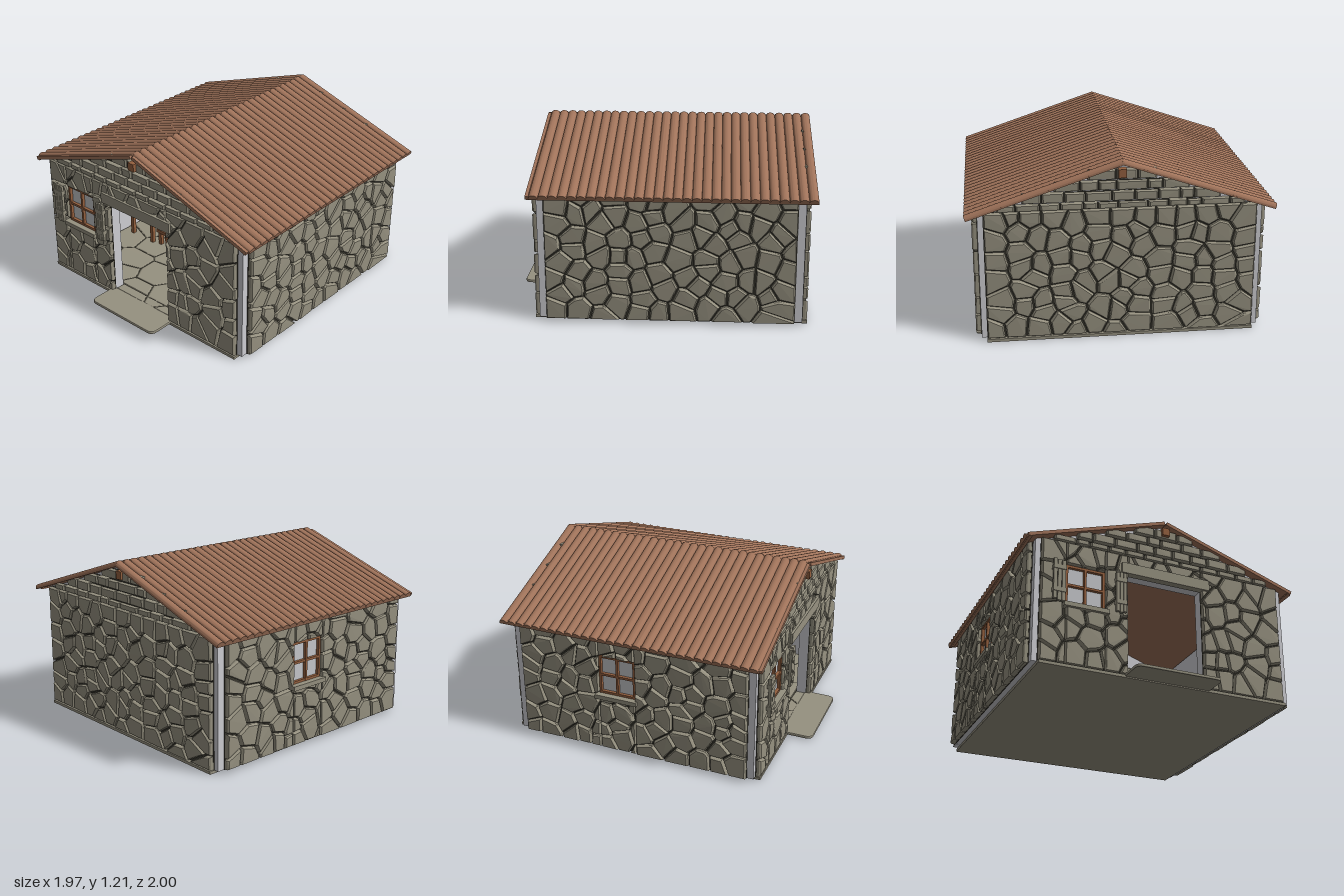
import * as THREE from 'three';
import { mergeGeometries, toCreasedNormals } from 'three/addons/utils/BufferGeometryUtils.js';
import { ConvexGeometry } from 'three/addons/geometries/ConvexGeometry.js';

const paint = (name, color) => {
  const m = new THREE.MeshStandardMaterial({ color });
  m.name = name;
  return m;
};

export function createModel() {
  const stone = paint('stone', 0x969180), mortar = paint('mortar', 0x3b3930);
  const plaster = paint('plaster', 0xcfcfd4), tile = paint('roof tile', 0xa0735a);
  const timber = paint('timber', 0x94603f), glass = paint('glass', 0xc6c8cb);
  const house = new THREE.Group();
  house.name = 'stoneCottage';

  let seed = 7;
  const rnd = () => (seed = (seed * 16807) % 2147483647) / 2147483647;

  const add = (name, geo, mat, parent = house) => {
    const m = new THREE.Mesh(geo, mat);
    m.name = name;
    parent.add(m);
    return m;
  };
  // box given by its limits on each axis
  const box = (name, mat, [x0, x1], [y0, y1], [z0, z1], parent) => {
    const m = add(name, new THREE.BoxGeometry(x1 - x0, y1 - y0, z1 - z0), mat, parent);
    m.position.set((x0 + x1) / 2, (y0 + y1) / 2, (z0 + z1) / 2);
    return m;
  };
  const group = (name, x, y, z, ry = 0, rx = 0) => {
    const g = new THREE.Group();
    g.name = name;
    g.position.set(x, y, z);
    g.rotation.set(rx, ry, 0);
    house.add(g);
    return g;
  };

  // keep the part of a polygon where p.n <= d
  const clip = (poly, nx, ny, d) => {
    const out = [];
    poly.forEach((a, i) => {
      const b = poly[(i + 1) % poly.length];
      const da = a[0] * nx + a[1] * ny - d, db = b[0] * nx + b[1] * ny - d;
      if (da <= 0) out.push(a);
      if (da * db < 0) {
        const t = da / (da - db);
        out.push([a[0] + (b[0] - a[0]) * t, a[1] + (b[1] - a[1]) * t]);
      }
    });
    return out;
  };
  const rect = ([x0, x1, y0, y1], g = 0) =>
    [[x0 + g, y0 + g], [x1 - g, y0 + g], [x1 - g, y1 - g], [x0 + g, y1 - g]];

  // one chamfered stone on a convex outline
  const stoneGeo = (poly, depth) => {
    const p = poly.filter((a, i) => {
      const b = poly[(i + 1) % poly.length];
      return Math.hypot(a[0] - b[0], a[1] - b[1]) > 0.006;
    });
    if (p.length < 3) return null;
    const xs = p.map(a => a[0]), ys = p.map(a => a[1]);
    if (Math.max(...xs) - Math.min(...xs) < 0.014 || Math.max(...ys) - Math.min(...ys) < 0.014) return null;
    const cx = xs.reduce((s, v) => s + v) / p.length, cy = ys.reduce((s, v) => s + v) / p.length;
    const pts = [];
    for (const [x, y] of p) {
      const k = Math.min(0.5, 0.01 / Math.hypot(x - cx, y - cy));
      pts.push(new THREE.Vector3(x, y, 0), new THREE.Vector3(x, y, depth * 0.65));
      pts.push(new THREE.Vector3(x + (cx - x) * k, y + (cy - y) * k, depth * (0.9 + 0.1 * rnd())));
    }
    return new ConvexGeometry(pts);
  };

  // irregular stonework filling several rectangles, outward is local +z
  const stonework = (name, parent, regions, cell, depth) => {
    const X0 = Math.min(...regions.map(r => r[0])), X1 = Math.max(...regions.map(r => r[1]));
    const Y0 = Math.min(...regions.map(r => r[2])), Y1 = Math.max(...regions.map(r => r[3]));
    const nx = Math.round((X1 - X0) / cell), ny = Math.round((Y1 - Y0) / cell), seeds = [];
    for (let i = 0; i < nx; i++) for (let j = 0; j < ny; j++)
      seeds.push([X0 + (X1 - X0) * (i + 0.5 + (rnd() - 0.5) * 0.85) / nx,
        Y0 + (Y1 - Y0) * (j + 0.5 + (rnd() - 0.5) * 0.7 + (i % 2 ? 0.2 : -0.2)) / ny]);
    const stones = [];
    for (const r of regions) {
      box(name + 'Mortar', mortar, [r[0], r[1]], [r[2], r[3]], [0, 0.006], parent);
      for (const s of seeds) {
        let poly = rect(r, 0.003);
        for (const o of seeds) {
          const dx = o[0] - s[0], dy = o[1] - s[1], l = Math.hypot(dx, dy);
          if (l === 0 || l > cell * 4) continue;
          poly = clip(poly, dx / l, dy / l, ((s[0] + o[0]) * dx + (s[1] + o[1]) * dy) / (2 * l) - 0.0055);
          if (poly.length < 3) break;
        }
        const g = poly.length > 2 && stoneGeo(poly, depth);
        if (g) stones.push(g);
      }
    }
    add(name + 'Stones', mergeGeometries(stones), stone, parent);
  };
  // rectangles around an opening
  const around = ([x0, x1, y0, y1], [a, b, c, d]) =>
    [[x0, a, y0, y1], [b, x1, y0, y1], [a, b, y0, c], [a, b, d, y1]];

  // coursed bricks in the gable
  const gable = (parent) => {
    const bricks = [];
    [[0.79, 0.88, 0.928], [0.63, 0.928, 1.0], [0.43, 1.0, 1.068], [0.22, 1.068, 1.14]].forEach(([w, y0, y1]) => {
      const n = Math.round(w * 2 / 0.135);
      const cuts = Array.from({ length: n + 1 }, (_, i) =>
        -w + (2 * w * (i + (i && i < n ? (rnd() - 0.5) * 0.5 : 0))) / n);
      box('gableMortar', mortar, [-w + 0.01, w - 0.01], [y0, y1 - 0.006], [0, 0.006], parent);
      for (let i = 0; i < n; i++) {
        bricks.push(stoneGeo(rect([cuts[i], cuts[i + 1], y0, y1 - rnd() * 0.008], 0.004), 0.036));
      }
    });
    add('gableBricks', mergeGeometries(bricks), stone, parent);
  };

  // casement with a cross of bars, centred on its group
  const casement = (parent, [x0, x1, y0, y1]) => {
    const f = 0.016, cx = (x0 + x1) / 2, cy = (y0 + y1) / 2;
    box('windowGlass', glass, [x0, x1], [y0, y1], [-0.013, -0.007], parent);
    for (const x of [x0 + f / 2, cx, x1 - f / 2]) box('windowUpright', timber, [x - f / 2, x + f / 2], [y0, y1], [-0.02, 0.015], parent);
    for (const y of [y0 + f / 2, cy, y1 - f / 2]) box('windowRail', timber, [x0, x1], [y - f / 2, y + f / 2], [-0.02, 0.014], parent);
    box('windowSill', stone, [x0 - 0.02, x1 + 0.02], [y0 - 0.03, y0], [0, 0.055], parent);
  };

  // plastered wall core with openings
  const core = (name, pts, holes, parent) => {
    const shape = new THREE.Shape(pts.map(p => new THREE.Vector2(...p)));
    for (const h of holes) shape.holes.push(new THREE.Path(rect(h).map(p => new THREE.Vector2(...p))));
    const g = new THREE.ExtrudeGeometry(shape, { depth: 0.07, bevelEnabled: false });
    add(name, g.translate(0, 0, -0.07), plaster, parent);
  };
  const gableTop = [[0.905, 0.02], [0.905, 0.88], [0.84, 0.885], [0, 1.175], [-0.84, 0.885], [-0.905, 0.88], [-0.905, 0.02]];

  // front wall with door and window
  const front = group('frontWall', 0, 0, 0.785);
  const win = [-0.7, -0.43, 0.44, 0.72];
  core('frontCore', [...gableTop, [-0.27, 0.02], [-0.27, 0.74], [0.27, 0.74], [0.27, 0.02]], [win], front);
  stonework('frontWall', front, [...around([-0.87, -0.27, 0.02, 0.88], win),
    [0.27, 0.865, 0.02, 0.88], [-0.27, 0.27, 0.74, 0.88]], 0.135, 0.036);
  gable(front);
  casement(front, win);
  box('doorLintel', stone, [-0.32, 0.32], [0.735, 0.81], [0, 0.05], front);
  for (const [x, w] of [[-0.8, 0.085], [-0.37, 0.075]]) {
    for (let i = 0; i < 3; i++)
      box('shutterPlank', stone, [x + w * i / 3 + 0.002, x + w * (i + 1) / 3 - 0.002],
        [0.43 + rnd() * 0.015, 0.715 + rnd() * 0.02], [0.045, 0.065], front);
    for (const y of [0.49, 0.65]) box('shutterBatten', stone, [x, x + w], [y, y + 0.03], [0.035, 0.07], front);
  }

  // back wall
  const back = group('backWall', 0, 0, -0.93, Math.PI);
  core('backCore', gableTop, [], back);
  stonework('backWall', back, [[-0.87, 0.87, 0.02, 0.88]], 0.13, 0.036);
  gable(back);

  // side walls, with a window on the -x side only
  const sideRect = [-0.81, 0.81, 0.02, 0.88], sideWin = [-0.23, 0.03, 0.44, 0.72];
  for (const s of [1, -1]) {
    const side = group(s > 0 ? 'leftWall' : 'rightWall', s * 0.905, 0, -0.07, s * Math.PI / 2);
    core('sideCore', rect([-0.785, 0.785, 0.02, 0.88]), s > 0 ? [] : [sideWin], side);
    stonework('sideWall', side, s > 0 ? [sideRect] : around(sideRect, sideWin), 0.13, 0.038);
    if (s < 0) casement(side, sideWin);
  }

  // ground slab, doorstep, paved floor, inner back wall
  box('groundSlab', stone, [-0.87, 0.87], [0, 0.02], [-0.965, 0.82]);
  const stepShape = new THREE.Shape();
  stepShape.moveTo(-0.29, 0.78).lineTo(0.29, 0.78).lineTo(0.29, 0.95).quadraticCurveTo(0.29, 0.992, 0.25, 0.992)
    .lineTo(-0.25, 0.992).quadraticCurveTo(-0.29, 0.992, -0.29, 0.95);
  const step = new THREE.ExtrudeGeometry(stepShape,
    { depth: 0.01, bevelSize: 0.008, bevelThickness: 0.006, bevelSegments: 2 });
  add('doorstep', step.rotateX(Math.PI / 2).translate(0, 0.024, 0), stone);
  stonework('floor', group('floor', 0, 0.02, 0, 0, -Math.PI / 2),
    [[-0.83, 0.83, -0.71, 0.86], [-0.27, 0.27, -0.785, -0.71]], 0.24, 0.012);
  stonework('innerBackWall', group('innerBackWall', 0, 0, -0.86), [[-0.83, 0.83, 0.03, 0.88]], 0.13, 0.03);

  // framed hanging on the inner back wall
  const panel = (r, y0, z, mat, name) => {
    const s = new THREE.Shape(), c = 0.03;
    s.moveTo(-r, 0.8).lineTo(-r, y0 + c).quadraticCurveTo(-r, y0, -r + c, y0)
      .lineTo(r - c, y0).quadraticCurveTo(r, y0, r, y0 + c).lineTo(r, 0.8);
    add(name, new THREE.ExtrudeGeometry(s, { depth: 0.02, bevelEnabled: false }).translate(0, 0, z), mat);
  };
  panel(0.155, 0.365, -0.83, timber, 'hangingFrame');
  panel(0.14, 0.38, -0.825, stone, 'hangingPanel');
  const patch = new THREE.Shape([[0.01, 0.4], [0.06, 0.48], [0.07, 0.55], [0.1, 0.63], [0.08, 0.7], [0.04, 0.74],
    [-0.04, 0.74], [-0.07, 0.67], [-0.08, 0.58], [-0.05, 0.5]].map(p => new THREE.Vector2(...p)));
  add('hangingPatch', new THREE.ExtrudeGeometry(patch, { depth: 0.005, bevelEnabled: false }).translate(0, 0, -0.805), plaster);

  // table and stools
  const furniture = (name, x, z, w, d, h) => {
    const g = group(name, x, 0.03, z);
    box(name + 'Top', timber, [-w, w], [h - 0.025, h], [-d, d], g);
    for (const i of [-1, 1]) for (const j of [-1, 1]) {
      const lx = i * (w - 0.025), lz = j * (d - 0.025);
      box(name + 'Leg', timber, [lx - 0.014, lx + 0.014], [0, h - 0.025], [lz - 0.014, lz + 0.014], g);
    }
  };
  furniture('table', -0.63, 0, 0.13, 0.18, 0.25);
  for (const z of [-0.13, 0.1]) furniture('stool', -0.42, z, 0.06, 0.06, 0.13);

  // roof: rounded tiles running from ridge to eaves on thin boarding
  const pitch = 0.323, L = 1.032, N = 30, w = 1.82 / N;
  const arc = new THREE.Shape();
  arc.moveTo(w / 2, 0).absellipse(0, 0, w / 2, 0.025, 0, Math.PI, false, 0);
  const slope = (geo, s) => {
    geo.rotateZ(-pitch).translate(0, 1.183, 0);
    return s < 0 ? geo.rotateY(Math.PI) : geo;
  };
  for (const s of [1, -1]) {
    const tiles = [];
    for (let i = 0; i < N; i++) {
      const g = new THREE.ExtrudeGeometry(arc, { depth: L + 0.008, bevelEnabled: false, curveSegments: 10 });
      g.rotateY(Math.PI / 2).translate(-0.008, 0, s * (-1 + w * (i + 0.5)));
      tiles.push(toCreasedNormals(slope(g, s), 0.75));
    }
    add('roofTiles', mergeGeometries(tiles), tile);
    add('roofBoarding', slope(new THREE.BoxGeometry(L, 0.01, 1.82).translate(L / 2, -0.004, s * -0.09), s), tile);
    add('bargeBoard', slope(new THREE.BoxGeometry(L - 0.015, 0.024, 0.022).translate(L / 2, 0, s * 0.831), s), tile);
    box('eavesBoard', tile, s > 0 ? [0.945, 0.965] : [-0.965, -0.945], [0.848, 0.872], [-0.97, 0.84]);
  }
  box('ridgeBeam', timber, [-0.026, 0.026], [1.085, 1.14], [-0.98, 0.845]);
  return house;
}
